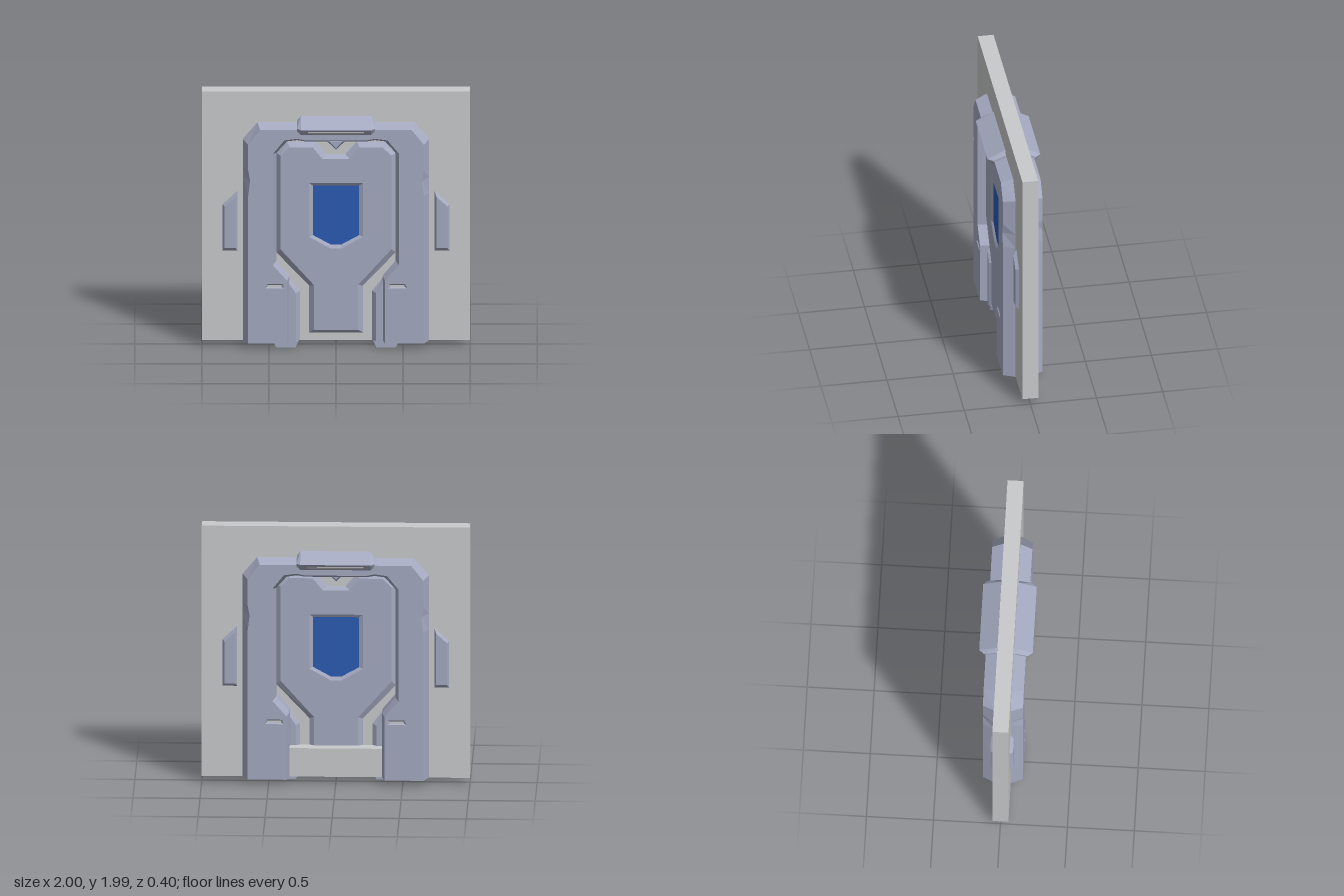
import * as THREE from 'three';
import { mergeGeometries } from 'three/addons/utils/BufferGeometryUtils.js';
import { ConvexGeometry } from 'three/addons/geometries/ConvexGeometry.js';

const material = (name, color) => {
  const m = new THREE.MeshStandardMaterial({ color, side: THREE.DoubleSide });
  m.name = name;
  return m;
};

// Outline helpers: points are [x, y], counter-clockwise
const flip = (pts) => pts.map(([x, y]) => [-x, y]).reverse();
const both = (half) => [...half, ...flip(half)];
const toShape = (pts) => new THREE.Shape(pts.map(([x, y]) => new THREE.Vector2(x, y)));

// Strip of flat quads between two matching outlines
function ring(a, za, b, zb, closed = true) {
  const pos = [];
  const n = a.length;
  for (let i = 0; i < (closed ? n : n - 1); i++) {
    const j = (i + 1) % n;
    const p = [...a[i], za], q = [...a[j], za], r = [...b[j], zb], s = [...b[i], zb];
    pos.push(...p, ...q, ...r, ...p, ...r, ...s);
  }
  const g = new THREE.BufferGeometry();
  g.setAttribute('position', new THREE.Float32BufferAttribute(pos, 3));
  g.computeVertexNormals();
  return g;
}

// Flat face with optional holes
function cap(pts, z, holes = []) {
  const shape = toShape(pts);
  shape.holes = holes.map((h) => toShape(h));
  const g = new THREE.ShapeGeometry(shape).toNonIndexed();
  g.deleteAttribute('uv');
  return g.translate(0, 0, z);
}

// Raised plate with sloping edges and sloping recesses
function bevelled(base, z0, top, z1, recesses = []) {
  return mergeGeometries([
    ring(base, z0, top, z1),
    cap(top, z1, recesses.map((r) => r.rim)),
    ...recesses.map((r) => ring(r.rim, z1, r.floor, r.z)),
  ]);
}

export function createModel() {
  const grey = material('wall grey', 0xc9cacb);
  const steel = material('blue grey metal', 0xa5aac1);
  const blue = material('window blue', 0x2b5bb3);
  const model = new THREE.Group();
  const add = (parent, name, geo, mat) => {
    const m = new THREE.Mesh(geo, mat);
    m.name = name;
    parent.add(m);
    return m;
  };

  // Frame outlines
  const outerBase = both([[0.695, 0.05], [0.695, 1.2], [0.695, 1.32], [0.695, 1.4], [0.695, 1.62], [0.585, 1.75]]);
  const outerTop = both([[0.655, 0.05], [0.655, 1.2], [0.64, 1.32], [0.655, 1.4], [0.655, 1.6], [0.565, 1.715]]);
  const innerTop = both([[0.365, 0.05], [0.365, 0.54], [0.47, 0.66], [0.47, 1.53], [0.385, 1.635], [0.29, 1.648], [0.23, 1.635]]);
  const innerBase = both([[0.345, 0.05], [0.345, 0.55], [0.445, 0.67], [0.445, 1.51], [0.365, 1.6], [0.29, 1.61], [0.23, 1.6]]);

  // Wall: solid front skin and a back layer with the doorway cut out
  const opening = innerBase.map(([x, y]) => [x, Math.max(y, 0.27)]);
  const wallShape = toShape([[-1, 0.05], [1, 0.05], [1, 1.99], [-1, 1.99]]);
  wallShape.holes.push(toShape(opening.map(([x, y]) => [x + Math.sign(x) * 0.004, y > 0.3 ? y + 0.004 : y])));
  add(model, 'wall', new THREE.ExtrudeGeometry(wallShape, { depth: 0.105, bevelEnabled: false }).translate(0, 0, -0.06), grey);
  add(model, 'wallSkin', new THREE.BoxGeometry(2, 1.94, 0.015).translate(0, 1.02, 0.0525), grey);
  const liningPath = [...opening].reverse();
  add(model, 'doorwayLining', ring(liningPath, -0.06, liningPath, 0.045, false), steel);

  // Door outlines, with a notch at the top
  const doorBase = both([[0.2, 0.11], [0.2, 0.475], [0.445, 0.735], [0.445, 1.51], [0.365, 1.6], [0.155, 1.6], [0.07, 1.5]]);
  const doorTop = both([[0.165, 0.14], [0.165, 0.49], [0.415, 0.77], [0.415, 1.5], [0.345, 1.565], [0.175, 1.565], [0.1, 1.472]]);
  const windowRim = both([[0.04, 0.775], [0.2, 0.865], [0.2, 1.285]]);
  const windowFloor = both([[0.037, 0.8], [0.172, 0.875], [0.172, 1.262]]);
  // Put the bottom edge first so the loop stays counter-clockwise
  const kerbBase = [[0.27, 0.05], [0.35, 0.05], [0.35, 0.54], [0.27, 0.435]];
  const kerbTop = [[0.3, 0.05], [0.35, 0.05], [0.35, 0.5], [0.3, 0.425]];
  const slotRim = [[0.39, 0.48], [0.53, 0.48], [0.515, 0.515], [0.39, 0.515]];
  const slotFloor = [[0.405, 0.488], [0.515, 0.488], [0.505, 0.505], [0.405, 0.505]];
  const barBase = [[0.735, 0.75], [0.845, 0.75], [0.845, 1.11], [0.735, 1.215]];
  const barTop = [[0.748, 0.775], [0.83, 0.775], [0.83, 1.1], [0.748, 1.175]];

  // Hood cross-sections as [y, z]
  const hoodPoints = [];
  const sections = [
    [0.262, [[1.8, 0.065], [1.73, 0.2], [1.68, 0.155], [1.69, 0.065]]],
    [0.29, [[1.765, 0.065], [1.73, 0.165], [1.695, 0.14], [1.695, 0.065]]],
  ];
  for (const [x, section] of sections)
    for (const [y, z] of section)
      for (const s of [-1, 1]) hoodPoints.push(new THREE.Vector3(s * x, y, z));

  // One face of the doorway; the back is turned half round
  function doorSide(name, z0, z1, zWindow) {
    const g = new THREE.Group();
    g.name = name;
    model.add(g);
    const slots = [slotRim, flip(slotRim)];
    const floors = [slotFloor, flip(slotFloor)];
    add(g, 'frame', bevelled(
      [...outerBase, ...[...innerBase].reverse()], 0.06,
      [...outerTop, ...[...innerTop].reverse()], 0.15,
      slots.map((rim, i) => ({ rim, floor: floors[i], z: 0.138 })),
    ), steel);
    floors.forEach((f) => add(g, 'slot', cap(f, 0.138), grey));

    add(g, 'door', bevelled(doorBase, z0, doorTop, z1, [{ rim: windowRim, floor: windowFloor, z: zWindow }]), steel);
    add(g, 'window', cap(windowFloor, zWindow), blue);
    const latch = bevelled([[0, 1.535], [0.075, 1.61], [-0.075, 1.61]], z0, [[0, 1.555], [0.05, 1.61], [-0.05, 1.61]], z1);
    add(g, 'topLatch', latch, steel);

    add(g, 'hood', new ConvexGeometry(hoodPoints), steel);
    const lamp = add(g, 'hoodSlot', new THREE.BoxGeometry(0.42, 0.022, 0.006), grey);
    lamp.position.set(0, 1.704, 0.177);
    lamp.rotation.x = 0.733;

    for (const side of [(p) => p, flip]) {
      add(g, 'kerb', bevelled(side(kerbBase), z0, side(kerbTop), z1), steel);
      add(g, 'sideBar', bevelled(side(barBase), 0.06, side(barTop), 0.085), steel);
    }
    return g;
  }
  doorSide('frontSide', 0.06, 0.095, 0.08);
  doorSide('backSide', -0.045, -0.02, -0.033).rotation.y = Math.PI;

  // Feet under the front
  const foot = [[0.3, 0], [0.445, 0], [0.47, 0.05], [0.28, 0.05]];
  for (const pts of [foot, flip(foot)])
    add(model, 'foot', new THREE.ExtrudeGeometry(toShape(pts), { depth: 0.035, bevelEnabled: false }).translate(0, 0, 0.05), steel);

  return model;
}
